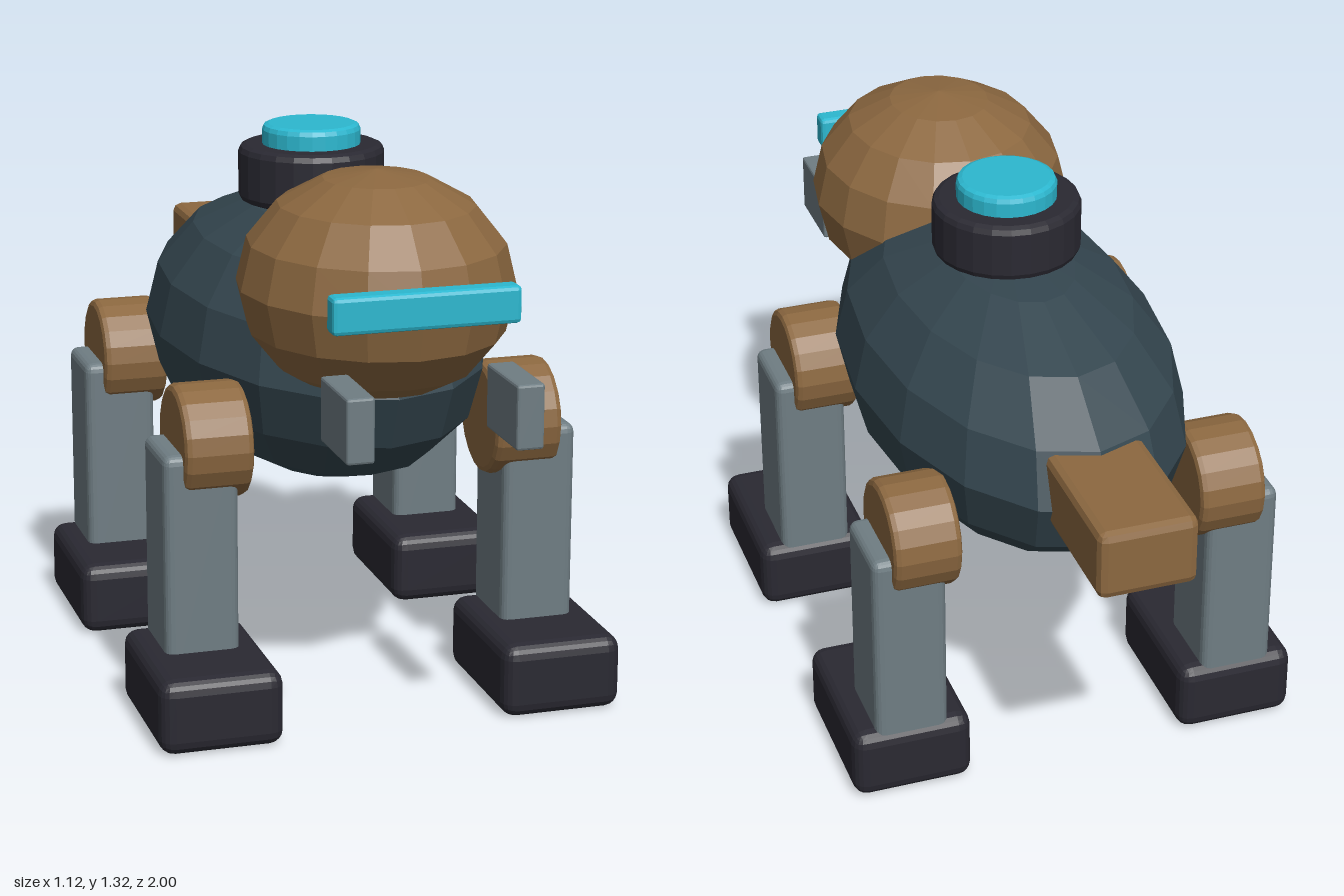
import * as THREE from 'three';
import { RoundedBoxGeometry } from 'three/addons/geometries/RoundedBoxGeometry.js';

export function createModel() {
  const model = new THREE.Group();
  model.name = 'quadrupedRobot';

  const paint = (name, color) => {
    const m = new THREE.MeshStandardMaterial({ color, flatShading: true });
    m.name = name;
    return m;
  };
  const bronze = paint('bronze', 0x8c6840);
  const slate = paint('slate', 0x34464f);
  const steel = paint('steel', 0x6f7d83);
  const charcoal = paint('charcoal', 0x2a2932);
  const cyan = paint('cyan', 0x2cb8d0);

  const add = (parent, name, geometry, material, x, y, z) => {
    const mesh = new THREE.Mesh(geometry, material);
    mesh.name = name;
    mesh.position.set(x, y, z);
    parent.add(mesh);
    return mesh;
  };
  const box = (w, h, d, bevel, segments = 1) => new RoundedBoxGeometry(w, h, d, segments, bevel);
  const ellipsoid = (rx, ry, rz) => new THREE.SphereGeometry(1, 16, 8).scale(rx, ry, rz);

  // Upright disc with bevelled rims, centred on its own height
  const disc = (r, h, b, sides) => new THREE.LatheGeometry([
    [0, -h / 2], [r - b, -h / 2], [r - b * 0.3, -h / 2 + b * 0.3], [r, -h / 2 + b],
    [r, h / 2 - b], [r - b * 0.3, h / 2 - b * 0.3], [r - b, h / 2], [0, h / 2],
  ].map(([x, y]) => new THREE.Vector2(x, y)), sides);

  // Torso and tail
  add(model, 'body', ellipsoid(0.385, 0.337, 0.705), slate, 0, 0.807, -0.035);
  add(model, 'tail', box(0.235, 0.17, 0.42, 0.02), bronze, 0, 0.843, -0.79);

  // Beacon on the back
  add(model, 'beaconBase', disc(0.178, 0.14, 0.018, 24), charcoal, 0, 1.197, -0.035);
  add(model, 'beaconLight', disc(0.12, 0.1, 0.015, 24), cyan, 0, 1.267, -0.035);

  // Head, visor and jaws
  const head = new THREE.Group();
  head.name = 'head';
  model.add(head);
  add(head, 'skull', ellipsoid(0.32, 0.267, 0.355), bronze, 0, 1.037, 0.488);
  add(head, 'visor', box(0.434, 0.085, 0.055, 0.01), cyan, 0, 1.062, 0.844);
  for (const side of [-1, 1]) {
    add(head, 'jaw', box(0.064, 0.148, 0.2, 0.006), steel, side * 0.193, 0.842, 0.9);
  }

  // Four legs
  for (const [end, z] of [['front', 0.38], ['back', -0.46]]) {
    for (const side of [-1, 1]) {
      const leg = new THREE.Group();
      leg.name = end + 'Leg';
      leg.position.set(side * 0.414, 0, z);
      model.add(leg);
      const hip = disc(0.137, 0.164, 0.015, 20).rotateZ(Math.PI / 2);
      add(leg, 'hip', hip, bronze, -side * 0.038, 0.664, 0);
      add(leg, 'shin', box(0.178, 0.56, 0.21, 0.022, 2), steel, 0, 0.378, 0);
      add(leg, 'foot', box(0.294, 0.18, 0.406, 0.035, 2), charcoal, 0, 0.09, 0.088);
    }
  }
  return model;
}
